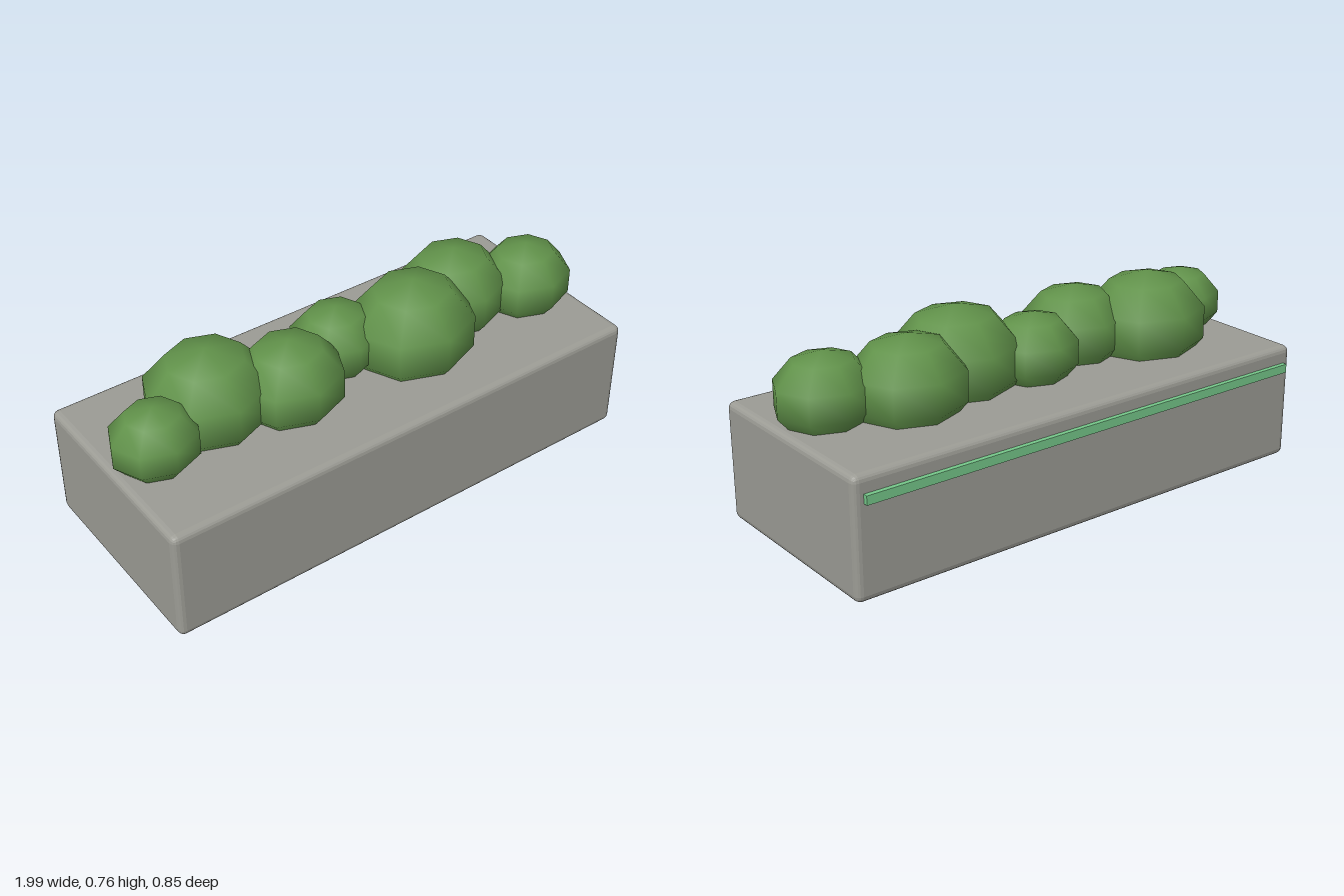
import * as THREE from 'three';
import { RoundedBoxGeometry } from 'three/addons/geometries/RoundedBoxGeometry.js';

const material = (name, color) => {
  const m = new THREE.MeshStandardMaterial({ color });
  m.name = name;
  return m;
};

export function createModel() {
  const stone = material('stone grey', 0x9c9c95);
  const leaf = material('leaf green', 0x61924a);
  const trim = material('trim green', 0x76c88a);
  const group = new THREE.Group();
  group.name = 'planter';

  const add = (name, geometry, mat, x, y, z) => {
    const mesh = new THREE.Mesh(geometry, mat);
    mesh.name = name;
    mesh.position.set(x, y, z);
    group.add(mesh);
    return mesh;
  };

  // Stone trough with faceted, bevelled edges
  const trough = new RoundedBoxGeometry(1.99, 0.455, 0.83, 2, 0.025);
  trough.computeVertexNormals();
  add('trough', trough, stone, 0, 0.2275, 0.008);

  // Thin strip along the back
  add('backStrip', new THREE.BoxGeometry(1.916, 0.034, 0.024), trim, -0.002, 0.373, -0.413);

  // Row of low-sided bushes: x, z, radius across z
  const bushes = [
    [-0.834, 0.055, 0.15],
    [-0.562, -0.045, 0.217],
    [-0.285, 0.055, 0.19],
    [-0.012, -0.045, 0.16],
    [0.262, 0.055, 0.225],
    [0.536, -0.045, 0.2],
    [0.811, 0.055, 0.169],
  ];
  // Five rings, so the widest ring lies at sin(72 degrees) of the radius
  const ball = new THREE.SphereGeometry(1 / Math.sin(Math.PI * 0.4), 8, 5);
  bushes.forEach(([x, z, r], i) => {
    add(`bush${i + 1}`, ball, leaf, x, 0.55, z).scale.set(r * 1.09, r * 0.9, r);
  });

  return group;
}
